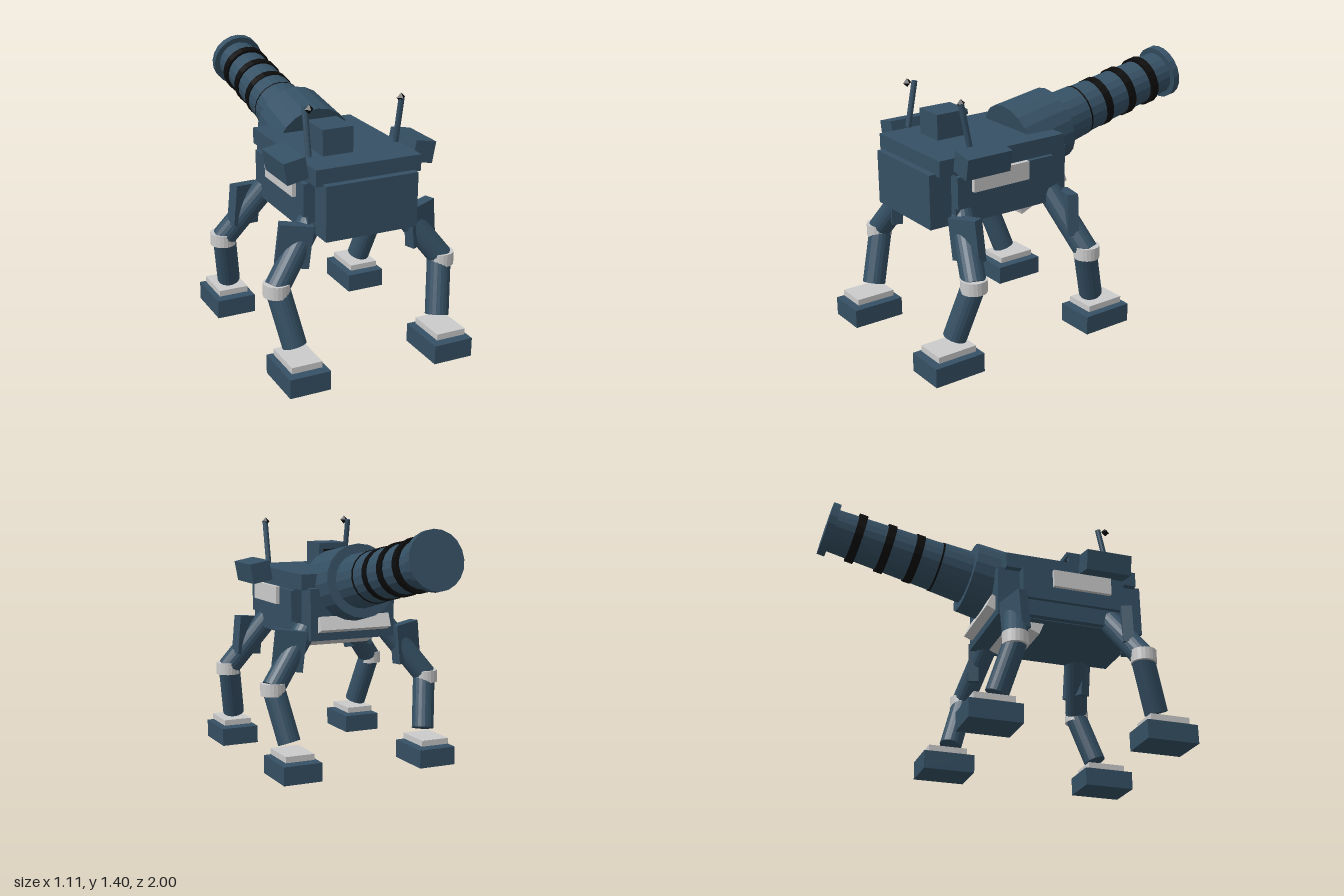
import * as THREE from 'three';

const paint = (color) => new THREE.MeshStandardMaterial({ color, flatShading: true });
const blue = paint(0x355064);
const black = paint(0x0c0c0c);
const grey = paint(0xcccccc);

function add(parent, name, geometry, material, x = 0, y = 0, z = 0) {
  const mesh = new THREE.Mesh(geometry, material);
  mesh.name = name;
  mesh.position.set(x, y, z);
  parent.add(mesh);
  return mesh;
}

// Box given by its extents on each axis
function block(parent, name, material, [x0, x1], [y0, y1], [z0, z1]) {
  return add(parent, name, new THREE.BoxGeometry(x1 - x0, y1 - y0, z1 - z0), material,
    (x0 + x1) / 2, (y0 + y1) / 2, (z0 + z1) / 2);
}

// Cylinder between two points
function rod(parent, name, material, from, to, r0, r1 = r0, sides = 20) {
  const a = new THREE.Vector3(...from), b = new THREE.Vector3(...to);
  const dir = b.clone().sub(a);
  const mesh = add(parent, name, new THREE.CylinderGeometry(r1, r0, dir.length(), sides), material);
  mesh.position.copy(a).add(b).multiplyScalar(0.5);
  mesh.quaternion.setFromUnitVectors(new THREE.Vector3(0, 1, 0), dir.normalize());
  return mesh;
}

function makeBody() {
  const body = new THREE.Group();
  body.name = 'body';
  block(body, 'hull', blue, [-0.26, 0.26], [0.735, 1.03], [-0.03, 0.84]);
  block(body, 'hullSides', blue, [-0.323, 0.323], [0.835, 1.01], [0.1, 0.71]);
  block(body, 'deck', blue, [-0.298, 0.298], [1.02, 1.108], [0.01, 0.8]);
  block(body, 'deckSkirt', blue, [-0.298, 0.298], [0.74, 1.03], [0.1, 0.71]);
  for (const s of [-1, 1]) {
    block(body, 'sidePanel', grey, [s * 0.333 - 0.012, s * 0.333 + 0.012], [0.917, 1.018], [0.275, 0.623]);
    // Shoulder pods lean outward
    const pod = add(body, 'sidePod', new THREE.BoxGeometry(0.12, 0.117, 0.27), blue, s * 0.365, 1.087, 0.582);
    pod.rotation.z = -s * 0.185;
    // The two antennas lean in opposite directions
    rod(body, 'antenna', blue, [s * 0.263, 1.125, 0.617 - s * 0.025], [s * 0.263, 1.375, 0.617 + s * 0.025], 0.016, 0.016, 10);
    add(body, 'antennaTip', new THREE.OctahedronGeometry(0.025), black, s * 0.26, 1.372, 0.64);
  }
  // Sight housing with a viewing slot
  block(body, 'sightBox', blue, [-0.173, 0], [1.1, 1.22], [0.44, 0.62]);
  block(body, 'sightLid', blue, [-0.175, 0], [1.22, 1.248], [0.427, 0.62]);
  block(body, 'sightSlot', black, [-0.145, -0.03], [1.165, 1.21], [0.434, 0.445]);
  // Slanted keel plate under the cannon
  const keel = add(body, 'keelPlate', new THREE.BoxGeometry(0.432, 0.08, 0.336), grey, 0, 0.772, 0.09);
  keel.rotation.x = 0.4;
  return body;
}

function makeCannon() {
  const cannon = new THREE.Group();
  cannon.name = 'cannon';
  // Local +y runs along the barrel; the origin is the collar's mouth
  const section = (name, mat, y0, y1, r0, r1 = r0) =>
    rod(cannon, name, mat, [0, y0, 0], [0, y1, 0], r0, r1, 20);
  section('collar', blue, -0.3, 0, 0.22, 0.208);
  section('barrelBase', blue, 0, 0.18, 0.155, 0.147);
  section('barrelSeam', black, 0.178, 0.19, 0.147);
  section('barrel', blue, 0.18, 0.82, 0.143, 0.123);
  for (const y of [0.3, 0.472, 0.647]) section('barrelRing', black, y, y + 0.048, 0.144);
  section('muzzleCap', blue, 0.81, 0.853, 0.155);
  cannon.position.set(0, 1.075, -0.137);
  cannon.rotation.x = -Math.PI / 2 + 0.209;
  return cannon;
}

// sx, sz pick the corner; z is mirrored about the middle of the body
function makeLeg(sx, sz) {
  const leg = new THREE.Group();
  leg.name = (sz > 0 ? 'front' : 'back') + (sx > 0 ? 'Left' : 'Right') + 'Leg';
  const at = (x, y, z) => [sx * x, y, 0.36 + sz * (z - 0.36)];
  add(leg, 'foot', new THREE.BoxGeometry(0.226, 0.105, 0.295), blue, ...at(0.418, 0.0525, 0.852));
  add(leg, 'footPad', new THREE.BoxGeometry(0.17, 0.034, 0.226), grey, ...at(0.421, 0.134, 0.852));
  rod(leg, 'shin', blue, at(0.422, 0.188, 0.814), at(0.478, 0.49, 0.722), 0.064);
  add(leg, 'kneeBand', new THREE.CylinderGeometry(0.071, 0.071, 0.07, 20), grey, ...at(0.482, 0.482, 0.73));
  rod(leg, 'thigh', blue, at(0.482, 0.485, 0.728), at(0.25, 0.79, 0.645), 0.066);
  const plate = add(leg, 'hipPlate', new THREE.BoxGeometry(0.175, 0.23, 0.06), blue, ...at(0.368, 0.685, 0.69));
  plate.rotation.set(0, sx * sz * 0.33, sx * 0.11);
  return leg;
}

export function createModel() {
  const model = new THREE.Group();
  model.name = 'walkingCannon';
  model.add(makeBody(), makeCannon());
  for (const sx of [-1, 1]) for (const sz of [-1, 1]) model.add(makeLeg(sx, sz));
  return model;
}
